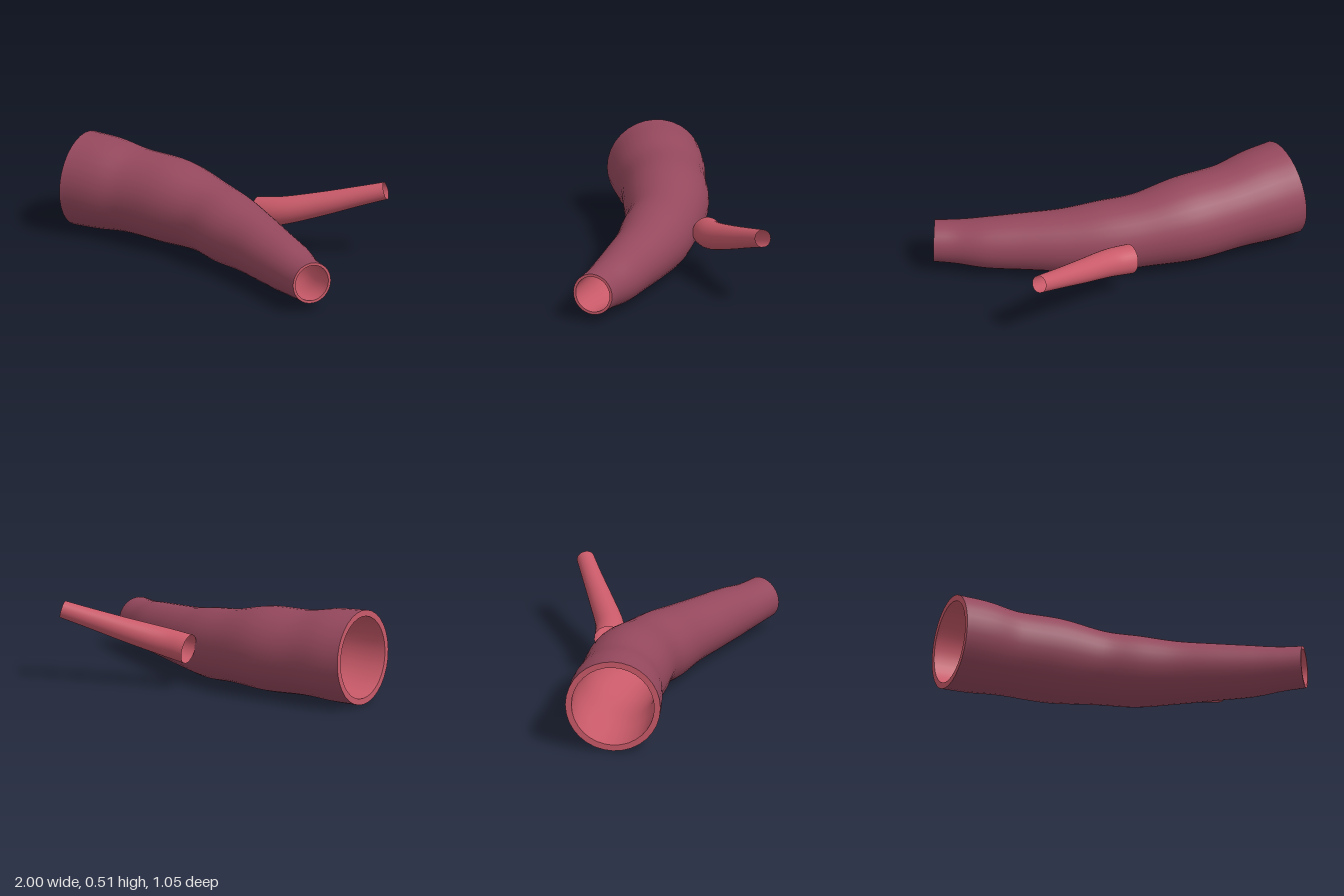
import * as THREE from 'three';

const SIDES = 32;

// Cross-sections along a smooth path; each station is [x, y, z, radius]
function sections(stations, steps, scale = 1) {
  const curve = new THREE.CatmullRomCurve3(stations.map(([x, y, z]) => new THREE.Vector3(x, y, z)), false, 'centripetal');
  const radii = new THREE.CatmullRomCurve3(stations.map((s, i) => new THREE.Vector3(i, s[3], 0)), false, 'centripetal');
  const up = new THREE.Vector3(0, 1, 0);
  const rings = [];
  for (let i = 0; i <= steps; i++) {
    const t = i / steps;
    const centre = curve.getPoint(t);
    const tangent = curve.getTangent(t);
    const v = new THREE.Vector3().crossVectors(tangent, up).normalize();
    const u = new THREE.Vector3().crossVectors(v, tangent);
    const r = radii.getPoint(t).y * scale;
    const ring = [];
    for (let j = 0; j < SIDES; j++) {
      const a = (j / SIDES) * Math.PI * 2;
      ring.push(centre.clone().addScaledVector(u, Math.cos(a) * r).addScaledVector(v, Math.sin(a) * r));
    }
    rings.push(ring);
  }
  return rings;
}

// Skin over successive rings
function loft(rings) {
  const index = [];
  for (let i = 0; i < rings.length - 1; i++) {
    for (let j = 0; j < SIDES; j++) {
      const k = (j + 1) % SIDES;
      const a = i * SIDES + j, b = i * SIDES + k;
      index.push(a, b, a + SIDES, b, b + SIDES, a + SIDES);
    }
  }
  const geometry = new THREE.BufferGeometry().setFromPoints(rings.flat());
  geometry.setIndex(index);
  geometry.computeVertexNormals();
  return geometry;
}

export function createModel() {
  const wallColour = new THREE.MeshStandardMaterial({ color: 0x95485d });
  wallColour.name = 'vessel wall maroon';
  const liningColour = new THREE.MeshStandardMaterial({ color: 0xc95a69, side: THREE.DoubleSide });
  liningColour.name = 'lining pink';

  const group = new THREE.Group();
  group.name = 'branchingVessel';
  const add = (name, rings, material) => {
    const mesh = new THREE.Mesh(loft(rings), material);
    mesh.name = name;
    group.add(mesh);
  };

  // Main vessel: gently bending, tapering, slightly lumpy
  const trunk = [
    [-0.925, 0.267, 0.275, 0.256],
    [-0.77, 0.264, 0.232, 0.25],
    [-0.6, 0.255, 0.188, 0.23],
    [-0.35, 0.245, 0.143, 0.229],
    [-0.1, 0.221, 0.13, 0.199],
    [0.1, 0.2, 0.153, 0.192],
    [0.3, 0.187, 0.188, 0.17],
    [0.5, 0.177, 0.24, 0.154],
    [0.7, 0.168, 0.293, 0.139],
    [0.85, 0.165, 0.345, 0.12],
    [0.97, 0.167, 0.38, 0.113],
  ];
  const outer = sections(trunk, 60);
  const inner = sections(trunk, 60, 0.87);
  add('outerWall', outer, wallColour);
  add('innerLining', inner.slice().reverse(), liningColour);

  // Flat rims closing the wall at both ends
  add('wideRim', [inner[0], outer[0]], liningColour);
  add('narrowRim', [outer[60], inner[60]], liningColour);

  // Thin open side branch rising toward the back
  const branch = [
    [0.02, 0.22, -0.122, 0.08],
    [0.14, 0.243, -0.165, 0.076],
    [0.32, 0.297, -0.285, 0.065],
    [0.48, 0.352, -0.4, 0.054],
    [0.612, 0.397, -0.493, 0.047],
  ];
  add('sideBranch', sections(branch, 30), liningColour);

  return group;
}
